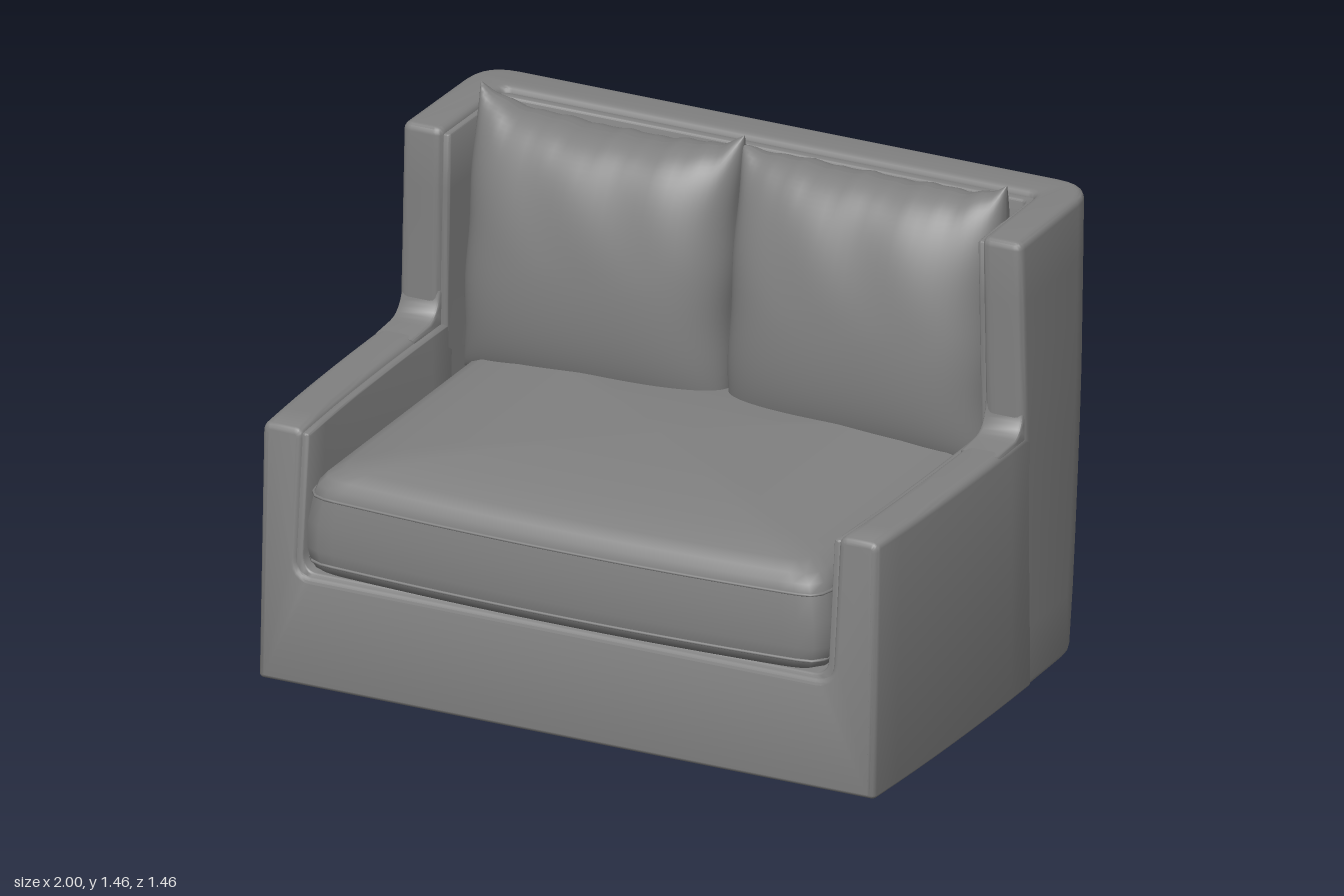
import * as THREE from 'three';
import { toCreasedNormals } from 'three/addons/utils/BufferGeometryUtils.js';

// Dark grey upholstery
const material = new THREE.MeshStandardMaterial({ color: 0x808080, side: THREE.DoubleSide });

function addMesh(group, name, geometry) {
  const mesh = new THREE.Mesh(geometry, material);
  mesh.name = name;
  group.add(mesh);
}

// Closed polygon of [x, y, radius] corners with rounded corners
function roundedPoly(corners) {
  const shape = new THREE.Shape();
  const n = corners.length;
  corners.forEach(([x, y, r], i) => {
    const p = new THREE.Vector2(x, y);
    const toward = ([qx, qy]) => new THREE.Vector2(qx, qy).sub(p).setLength(r).add(p);
    const a = toward(corners[(i + n - 1) % n]);
    const b = toward(corners[(i + 1) % n]);
    if (i === 0) shape.moveTo(a.x, a.y); else shape.lineTo(a.x, a.y);
    shape.quadraticCurveTo(x, y, b.x, b.y);
  });
  shape.closePath();
  return shape;
}

// Mirror a half outline (x > 0) into a full one
const mirrored = (half) => [...half, ...half.slice().reverse().map(([x, y, r]) => [-x, y, r])];

function extrude(shape, length, bevel, steps) {
  return new THREE.ExtrudeGeometry(shape, {
    depth: length - 2 * bevel, steps, curveSegments: 6,
    bevelThickness: bevel, bevelSize: bevel, bevelOffset: -bevel, bevelSegments: 4,
  }).translate(0, 0, bevel);
}

// Gentle shape of the upholstered body: bowed sides, leaning back, sloped front
function shapeBody(geometry) {
  const pos = geometry.attributes.position;
  for (let i = 0; i < pos.count; i++) {
    let x = pos.getX(i), z = pos.getZ(i);
    const y = pos.getY(i);
    x *= 1 - 0.02 * (z / 0.67) ** 2 - 0.02 * Math.max(0, y - 0.8);
    const backness = THREE.MathUtils.clamp((-0.3 - z) / 0.17, 0, 1);
    const frontness = THREE.MathUtils.clamp((z - 0.4) / 0.27, 0, 1);
    const bulge = y < 0.3 ? 0.07 * y : 0.021 - 0.107 * (y - 0.3);
    z += frontness * bulge - backness * 0.12 * Math.max(0, y / 1.37) ** 0.75;
    pos.setXYZ(i, x, y, z);
  }
  return toCreasedNormals(geometry, 0.7);
}

// Tall U-shaped wall, drawn in plan and extruded upward
function backWall(xOut, xIn, zFront, zBack, zIn, height, rOut, rIn, bevel) {
  const r = Math.min(0.03, (xOut - xIn) * 0.4);
  const plan = roundedPoly(mirrored([
    [xIn, zIn, rIn], [xIn, zFront, r], [xOut, zFront, r], [xOut, zBack, rOut],
  ]));
  return shapeBody(extrude(plan, height, bevel, 8).rotateX(Math.PI / 2).translate(0, height, 0));
}

// Low arms joined by the rail, drawn from the front and extruded in depth
function armFrame(xOut, xIn, top, floor, bottom, zBack, zFront, bevel) {
  const r = Math.min(0.03, (xOut - xIn) * 0.4);
  const outline = roundedPoly(mirrored([
    [xOut, bottom, 0.015], [xOut, top, r], [xIn, top, r], [xIn, floor, 0.05],
  ]));
  return shapeBody(extrude(outline, zFront - zBack, bevel, 8).translate(0, 0, zBack));
}

// Concave curve where an arm top rises into the back wall; x is its +x side
function stepFillet(x) {
  const s = new THREE.Shape();
  s.moveTo(-0.29, 0.74);
  s.lineTo(-0.08, 0.74);
  s.lineTo(-0.08, 0.778);
  s.lineTo(-0.17, 0.785);
  s.quadraticCurveTo(-0.235, 0.79, -0.242, 0.87);
  s.lineTo(-0.29, 0.87);
  s.closePath();
  return shapeBody(extrude(s, 0.125, 0.012, 1).rotateY(-Math.PI / 2).translate(x, 0, 0));
}

// Plan ring of the seat cushion with a bowed front edge
function cushionRing(scale, y) {
  const w = 0.835, zb = -0.55, zf = 0.695, zc = 0.08;
  const outline = roundedPoly([[w, zb, 0.06], [w, zf, 0.07], [-w, zf, 0.07], [-w, zb, 0.06]]);
  return outline.getSpacedPoints(120).slice(0, 120).map((p) => {
    const bow = p.y > 0.3 ? 0.035 * (1 - (p.x / w) ** 2) * Math.min(1, (p.y - 0.3) / 0.3) : 0;
    return new THREE.Vector3(p.x * scale, y, zc + (p.y + bow - zc) * scale);
  });
}

function seatCushion() {
  const rows = [[0, 0.355], [0.94, 0.36], [0.975, 0.375], [0.99, 0.4], [1, 0.44], [0.998, 0.52], [0.982, 0.6],
    [0.97, 0.628], [0.945, 0.652], [0.89, 0.677], [0.73, 0.7], [0.5, 0.716], [0.25, 0.724], [0, 0.726]];
  const positions = [], index = [], n = 120;
  rows.forEach(([s, y], j) => {
    for (const p of cushionRing(s, y)) positions.push(p.x, p.y, p.z);
    if (j === 0) return;
    for (let i = 0; i < n; i++) {
      const a = (j - 1) * n + i, b = (j - 1) * n + (i + 1) % n;
      index.push(a, a + n, b, b, a + n, b + n);
    }
  });
  const g = new THREE.BufferGeometry();
  g.setAttribute('position', new THREE.Float32BufferAttribute(positions, 3));
  g.setIndex(index);
  g.computeVertexNormals();
  return g;
}

function piping(scale, y) {
  const curve = new THREE.CatmullRomCurve3(cushionRing(scale, y), true);
  return new THREE.TubeGeometry(curve, 160, 0.005, 6, true);
}

// One face of a stuffed pillow; side = 1 front, -1 back
function pillowFace(side, leftTip, rightTip, sag, phase) {
  const g = new THREE.PlaneGeometry(2, 2, 40, 40);
  const pos = g.attributes.position;
  for (let i = 0; i < pos.count; i++) {
    // rows crowd toward the seams so the edges stay round
    const u = side * Math.sin(pos.getX(i) * Math.PI / 2);
    const v = Math.sin(pos.getY(i) * Math.PI / 2);
    const fullness = Math.max(0, (1 - Math.abs(u) ** 3.2) * (1 - v * v));
    const upper = Math.max(0, v);
    const tip = (u < 0 ? leftTip : rightTip) * Math.abs(u) ** 7;
    const wrinkle = upper ** 4 * (0.003 * Math.sin(13 * u + phase) + 0.003 * Math.sin(29 * u - phase));
    const x = u * (0.42 - 0.005 * (1 - v * v)) + 0.003 * u * u * Math.sin(8 * v + phase);
    const y = 1.01 + 0.4 * v + upper ** 5 * (tip - sag * (1 - u * u)) + wrinkle;
    const crease = 0.01 * Math.sin(9 * u + 3 * v + phase) * upper * fullness;
    const z = -0.385 - 0.045 * v + side * (0.187 * fullness ** 0.42 + crease);
    pos.setXYZ(i, x, y, z);
  }
  g.computeVertexNormals();
  return g;
}

function pillow(name, x, ...look) {
  const group = new THREE.Group();
  group.name = name;
  addMesh(group, 'pillowFront', pillowFace(1, ...look));
  addMesh(group, 'pillowBack', pillowFace(-1, ...look));
  group.position.x = x;
  return group;
}

export function createModel() {
  const model = new THREE.Group();
  model.name = 'loveseat';

  // Upholstered body
  addMesh(model, 'backWall', backWall(1, 0.87, -0.235, -0.61, -0.48, 1.37, 0.12, 0.03, 0.022));
  addMesh(model, 'armsAndFrontRail', armFrame(1, 0.87, 0.78, 0.35, 0, -0.29, 0.67, 0.02));
  addMesh(model, 'rearBase', new THREE.BoxGeometry(1.84, 0.35, 0.36).translate(0, 0.175, -0.39));
  addMesh(model, 'leftArmStep', stepFillet(0.995));
  addMesh(model, 'rightArmStep', stepFillet(-0.87));

  // Inner lining, set slightly below the outer edge
  addMesh(model, 'backLining', backWall(0.88, 0.852, -0.25, -0.49, -0.462, 1.352, 0.03, 0.02, 0.008));
  addMesh(model, 'armLining', armFrame(0.88, 0.852, 0.765, 0.36, 0.3, -0.29, 0.66, 0.008));

  // Seat cushion with piped seams
  addMesh(model, 'seatCushion', seatCushion());
  addMesh(model, 'upperPiping', piping(0.982, 0.6));
  addMesh(model, 'lowerPiping', piping(0.99, 0.4));

  // Back pillows
  model.add(pillow('rightPillow', -0.415, 0.04, 0.035, 0.035, 0.6));
  model.add(pillow('leftPillow', 0.425, 0.005, 0.04, 0.012, 2.4));

  // Thin panel under the base
  addMesh(model, 'undersidePanel', new THREE.BoxGeometry(0.4, 0.008, 0.29).translate(0, 0, 0.08));

  return model;
}
